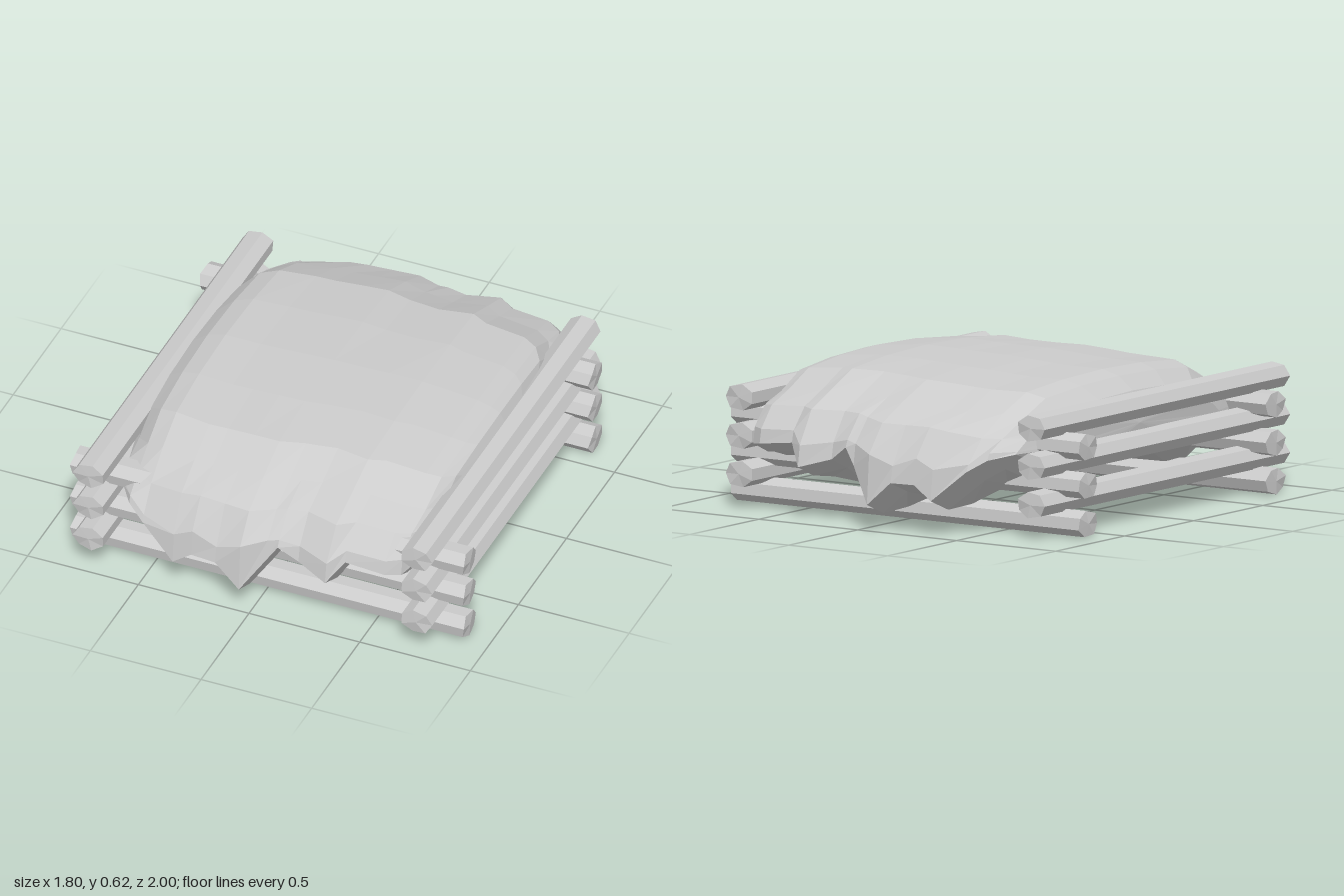
import * as THREE from 'three';

const material = new THREE.MeshStandardMaterial({ color: 0xcccccc, flatShading: true, side: THREE.DoubleSide });

// Seven-sided log, lying along x or z, slightly flattened, with roughly cut ends
function makeLog(name, axis, start, end, x, y, z, turn) {
  const g = new THREE.CylinderGeometry(0.07, 0.07, end - start, 7);
  const p = g.attributes.position;
  for (let i = 0; i < p.count; i++) {
    const px = p.getX(i), pz = p.getZ(i);
    const rough = Math.hypot(px, pz) * (0.07 + 0.07 * Math.sin(3 * Math.atan2(pz, px)));
    p.setY(i, p.getY(i) - Math.sign(p.getY(i)) * rough);
  }
  g.rotateY(turn);
  const mid = (start + end) / 2;
  if (axis === 'x') {
    g.rotateZ(Math.PI / 2);
    g.scale(1, 0.8, 1.02);
    g.translate(mid, y, z);
  } else {
    g.rotateX(Math.PI / 2);
    g.scale(1.02, 0.8, 1);
    g.translate(x, y, mid);
  }
  const mesh = new THREE.Mesh(g, material);
  mesh.name = name;
  return mesh;
}

// Draped cover: one closed front-to-back section per column of x
function makeCover() {
  // x, top, reach in z, shoulder height, fold height, hanging edge, sagging underside
  const columns = [
    [-0.72, 0.46, 0.62, 0.40, 0.36, 0.34, 0.30],
    [-0.69, 0.52, 0.80, 0.41, 0.36, 0.31, 0.25],
    [-0.62, 0.575, 0.90, 0.41, 0.36, 0.28, 0.225],
    [-0.54, 0.597, 0.94, 0.41, 0.31, 0.23, 0.20],
    [-0.38, 0.597, 0.98, 0.43, 0.28, 0.10, 0.165],
    [-0.29, 0.600, 0.98, 0.44, 0.32, 0.16, 0.145],
    [-0.17, 0.607, 0.99, 0.44, 0.28, 0.16, 0.12],
    [-0.05, 0.612, 1.00, 0.44, 0.32, 0.06, 0.10],
    [0.06, 0.614, 0.95, 0.45, 0.35, 0.21, 0.11],
    [0.11, 0.615, 0.94, 0.46, 0.36, 0.28, 0.12],
    [0.20, 0.618, 0.92, 0.46, 0.34, 0.22, 0.135],
    [0.35, 0.620, 0.965, 0.46, 0.32, 0.18, 0.155],
    [0.42, 0.614, 0.91, 0.46, 0.37, 0.27, 0.17],
    [0.60, 0.597, 0.90, 0.45, 0.36, 0.25, 0.21],
    [0.66, 0.580, 0.86, 0.44, 0.36, 0.24, 0.235],
    [0.70, 0.560, 0.76, 0.44, 0.36, 0.27, 0.26],
    [0.725, 0.51, 0.60, 0.42, 0.38, 0.34, 0.30],
  ];
  const loops = columns.map(([x, top, r, shoulder, fold, hang, under]) => {
    const half = [
      [0.3 * r, top - 0.008],
      [0.57 * r, top - 0.03],
      [0.74 * r, Math.max(top - 0.1, shoulder + 0.02)],
      [0.89 * r, shoulder],
      [0.985 * r, fold],
      [r, Math.min(hang + 0.05, fold - 0.01)],
      [r - 0.12, hang],
      [0.71 * r, Math.min(under, hang + 0.005)],
      [0.4 * r, under - 0.005],
    ];
    const back = half.slice().reverse().map(([z, y]) => [-z, y]);
    const loop = [[0, top], ...half, [0, under], ...back];
    return loop.map(([z, y]) => [x * (1 - 0.07 * z * z), y, z]);
  });

  const n = loops[0].length;
  const points = loops.flat();
  const index = [];
  for (let i = 0; i < loops.length - 1; i++) {
    for (let j = 0; j < n; j++) {
      const a = i * n + j, b = i * n + (j + 1) % n;
      index.push(a, b, a + n, b, b + n, a + n);
    }
  }
  // Close both sides
  const last = (loops.length - 1) * n;
  points.push([-0.73, 0.39, 0], [0.735, 0.41, 0]);
  for (let j = 0; j < n; j++) {
    const k = (j + 1) % n;
    index.push(points.length - 2, k, j, points.length - 1, last + j, last + k);
  }
  const g = new THREE.BufferGeometry();
  g.setAttribute('position', new THREE.Float32BufferAttribute(points.flat(), 3));
  g.setIndex(index);
  const flat = g.toNonIndexed();
  flat.computeVertexNormals();
  const mesh = new THREE.Mesh(flat, material);
  mesh.name = 'drapedCover';
  return mesh;
}

export function createModel() {
  const model = new THREE.Group();
  model.name = 'logBed';

  // Three alternating layers of crossed logs
  const frame = new THREE.Group();
  frame.name = 'logFrame';
  for (let i = 0; i < 3; i++) {
    const y = 0.057 + i * 0.161;
    frame.add(makeLog('frontLog', 'x', -0.88, 0.9, 0, y, 0.77, 0.3));
    frame.add(makeLog('backLog', 'x', -0.9, 0.87, 0, y, -0.615, 0.8));
    frame.add(makeLog('rightSideLog', 'z', -0.81, 0.97, -0.74, y + 0.088, 0, 0.2));
    frame.add(makeLog('leftSideLog', 'z', -0.81, 0.96, 0.735, y + 0.088, 0, 0.65));
  }
  model.add(frame, makeCover());
  return model;
}
